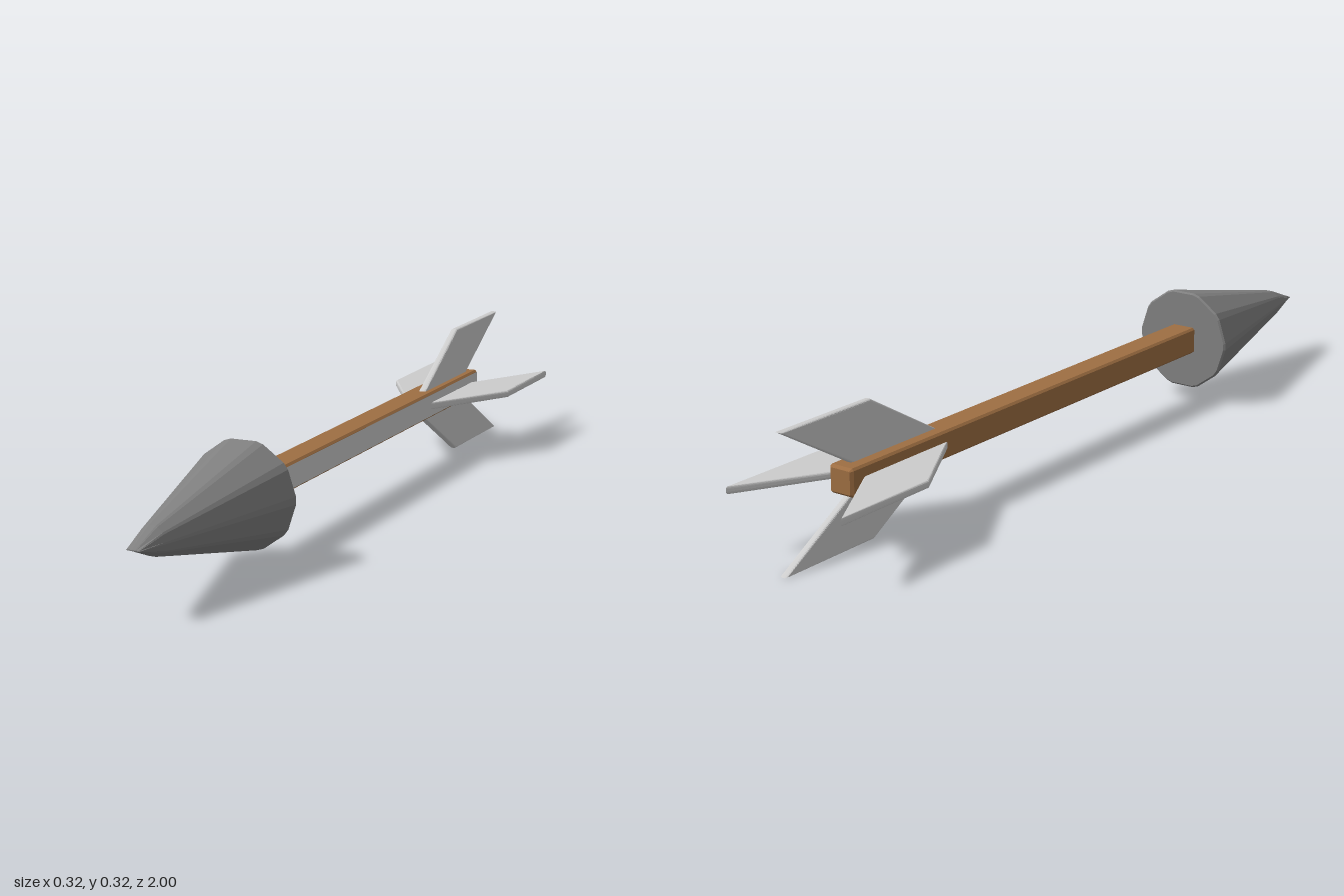
import * as THREE from 'three';

const AXIS_Y = 0.161;
const wood = new THREE.MeshStandardMaterial({ color: 0x9e6e42 });
const grey = new THREE.MeshStandardMaterial({ color: 0xcccccc });
const darkGrey = new THREE.MeshStandardMaterial({ color: 0x808080, flatShading: true });

function add(parent, name, geometry, material) {
  const mesh = new THREE.Mesh(geometry, material);
  mesh.name = name;
  parent.add(mesh);
  return mesh;
}

// Ten-sided ring with narrowly bevelled corners, corner on the x axis
function ringPoints(z, radius, squashY = 1) {
  const points = [];
  for (let k = 0; k < 10; k++) {
    for (const bevel of [-4, 4]) {
      const a = THREE.MathUtils.degToRad(k * 36 + bevel);
      points.push([radius * Math.cos(a), radius * Math.sin(a) * squashY, z]);
    }
  }
  return points;
}

// Rings joined from back to front, both ends closed
function headGeometry() {
  const rings = [
    ringPoints(0.5, 0.124),
    ringPoints(0.504, 0.128),
    ringPoints(0.92, 0.034),
    ringPoints(1, 0.0165, 0.08),
  ];
  const n = rings[0].length;
  const index = [];
  for (let r = 0; r < rings.length - 1; r++) {
    for (let i = 0; i < n; i++) {
      const a = r * n + i, b = r * n + (i + 1) % n;
      index.push(a, b, b + n, a, b + n, a + n);
    }
  }
  const last = (rings.length - 1) * n;
  for (let i = 1; i < n - 1; i++) {
    index.push(0, i + 1, i, last, last + i, last + i + 1);
  }
  const geometry = new THREE.BufferGeometry();
  geometry.setAttribute('position', new THREE.Float32BufferAttribute(rings.flat(2), 3));
  geometry.setIndex(index);
  geometry.computeVertexNormals();
  return geometry;
}

// Swept-back parallelogram vane with rounded edges, pointing along +x
function vaneGeometry() {
  const shape = new THREE.Shape([
    [0.03, -0.49], [0.03, -0.775], [0.161, -1], [0.161, -0.715],
  ].map(([r, z]) => new THREE.Vector2(r, z)));
  const geometry = new THREE.ExtrudeGeometry(shape, {
    depth: 0.006, bevelThickness: 0.006, bevelSize: 0.005, bevelOffset: -0.005, bevelSegments: 3,
  });
  return geometry.translate(0, 0, -0.003).rotateX(Math.PI / 2);
}

export function createModel() {
  const arrow = new THREE.Group();
  arrow.name = 'arrow';

  // Square shaft with chamfered edges
  const h = 0.033, c = 0.005;
  const section = new THREE.Shape([
    [h, -h + c], [h, h - c], [h - c, h], [-h + c, h],
    [-h, h - c], [-h, -h + c], [-h + c, -h], [h - c, -h],
  ].map(([x, y]) => new THREE.Vector2(x, y)));
  const shaftGeometry = new THREE.ExtrudeGeometry(section, {
    depth: 1.32, bevelThickness: 0.007, bevelSize: 0.006, bevelOffset: -0.006, bevelSegments: 1,
  });
  add(arrow, 'shaft', shaftGeometry, wood).position.set(0, AXIS_Y + 0.002, -0.811);

  // Grey face along the left of the shaft
  const strip = add(arrow, 'shaftLeftFace', new THREE.PlaneGeometry(1.312, 2 * (h - c)), grey);
  strip.rotation.y = Math.PI / 2;
  strip.position.set(h + 0.0008, AXIS_Y + 0.002, -0.155);

  // Faceted head with a chisel tip
  add(arrow, 'head', headGeometry(), darkGrey).position.set(0.003, AXIS_Y, 0);

  // Four vanes around the tail
  const fletching = new THREE.Group();
  fletching.name = 'fletching';
  arrow.add(fletching);
  const vane = vaneGeometry();
  ['leftVane', 'topVane', 'rightVane', 'bottomVane'].forEach((name, k) => {
    const mesh = add(fletching, name, vane, grey);
    mesh.rotation.z = k * Math.PI / 2;
    mesh.position.set(k % 2 ? 0.006 : 0, AXIS_Y, 0);
  });

  return arrow;
}
